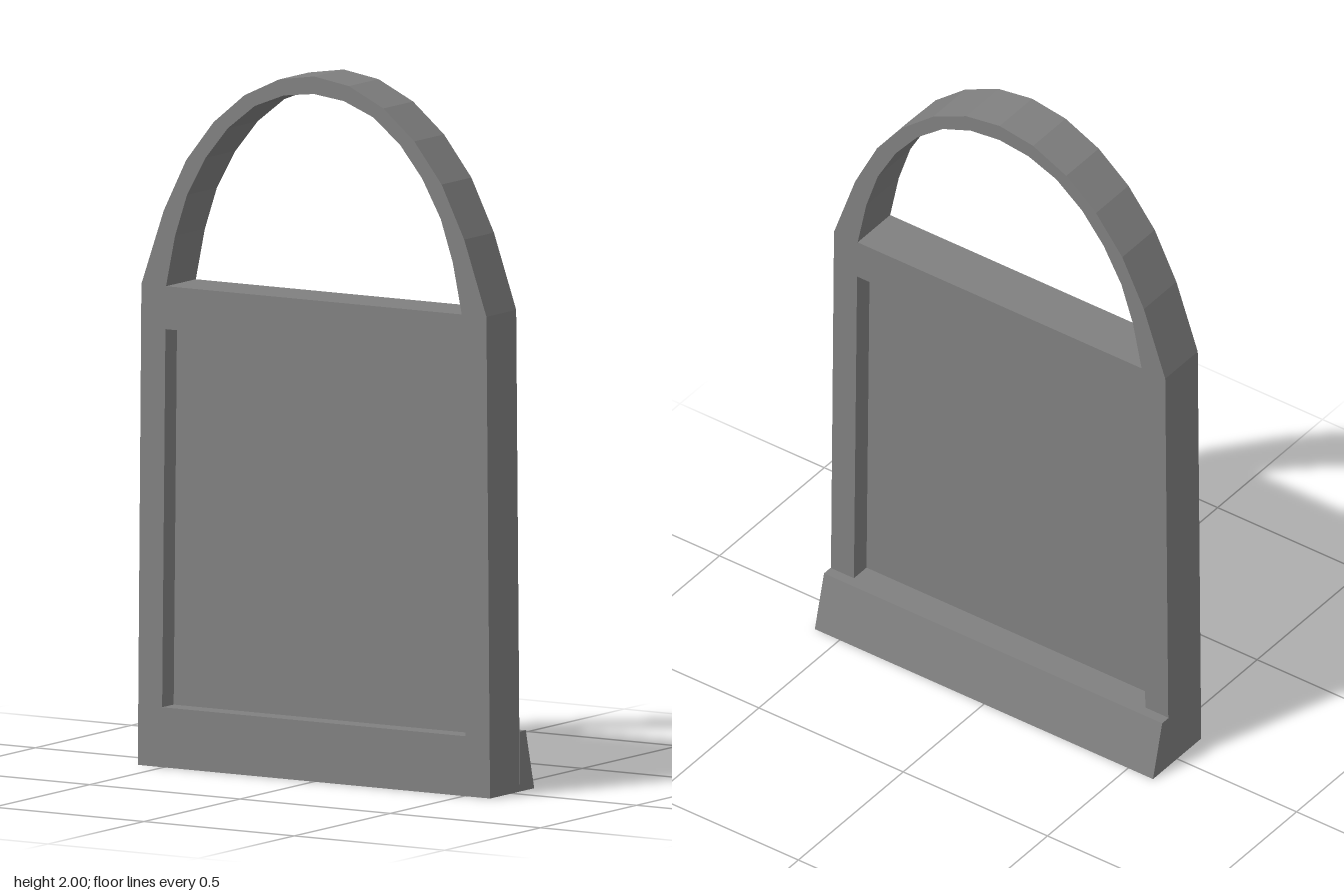
import * as THREE from 'three';

const BACK = -0.04, FRONT = 0.115;

// Mirror the right half of an outline (bottom to top, ending on x = 0) to the left
const mirrored = (half) => [
  ...half,
  ...half.filter(([x]) => x > 0).reverse().map(([x, y]) => [-x, y]),
].map(([x, y]) => new THREE.Vector2(x, y));

function extrude(shape, depth) {
  return new THREE.ExtrudeGeometry(shape, { depth, bevelEnabled: false });
}

export function createModel() {
  const model = new THREE.Group();
  const grey = new THREE.MeshStandardMaterial({ color: 0x808080 });
  grey.name = 'grey';

  const add = (name, geometry) => {
    const mesh = new THREE.Mesh(geometry, grey);
    mesh.name = name;
    model.add(mesh);
    return mesh;
  };

  // Frame: slightly tapered body and arched handle in one outline
  const frame = new THREE.Shape(mirrored([
    [0.586, 0], [0.574, 1.365], [0.5, 1.578], [0.425, 1.728],
    [0.334, 1.843], [0.231, 1.928], [0.116, 1.982], [0, 2],
  ]));
  const archOpening = mirrored([
    [0.492, 1.365], [0.462, 1.51], [0.422, 1.63], [0.36, 1.74],
    [0.286, 1.83], [0.197, 1.9], [0.1, 1.938], [0, 1.95],
  ]);
  const panelOutline = mirrored([[0.505, 0.17], [0.494, 1.243]]);
  frame.holes.push(new THREE.Path(archOpening), new THREE.Path(panelOutline));
  add('frame', extrude(frame, FRONT - BACK)).position.z = BACK;

  // Panel recessed from both faces of the frame
  add('recessedPanel', extrude(new THREE.Shape(panelOutline), 0.035)).position.z = 0.02;

  // Sloping sill along the bottom of the back, profile drawn as (-z, y)
  const sill = new THREE.Shape([
    [0.04, 0], [0.115, 0], [0.071, 0.17], [0.04, 0.17],
  ].map(([x, y]) => new THREE.Vector2(x, y)));
  const sillGeometry = extrude(sill, 1.172);
  sillGeometry.translate(0, 0, -0.586);
  sillGeometry.rotateY(Math.PI / 2);
  add('backSill', sillGeometry);

  return model;
}
